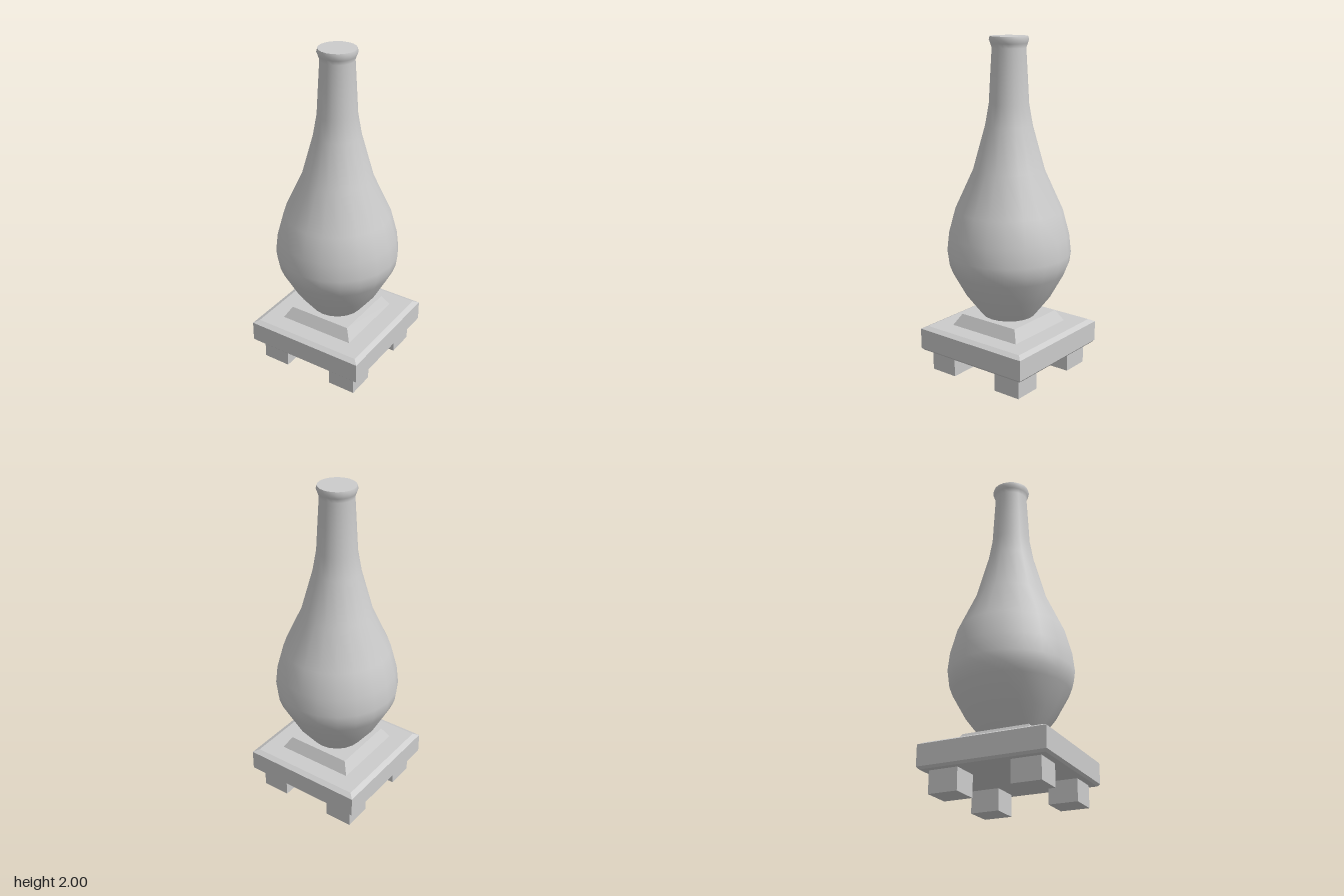
import * as THREE from 'three';

const smooth = new THREE.MeshStandardMaterial({ color: 0xcccccc });
const flat = new THREE.MeshStandardMaterial({ color: 0xcccccc, flatShading: true });

const toPoints = (pairs) => pairs.map(([r, y]) => new THREE.Vector2(r, y));

function addMesh(parent, name, geometry, material) {
  const mesh = new THREE.Mesh(geometry, material);
  mesh.name = name;
  parent.add(mesh);
  return mesh;
}

// Square block turned from a profile of [half width, height], bottom to top
function squareBlock(profile) {
  const points = toPoints(profile.map(([half, y]) => [half * Math.SQRT2, y]));
  return new THREE.LatheGeometry(points, 4, Math.PI / 4);
}

export function createModel() {
  const model = new THREE.Group();
  model.name = 'vaseOnStand';

  // Vase: pear-shaped body, slim neck and small rolled lip
  const vase = new THREE.Group();
  vase.name = 'vase';
  model.add(vase);
  const profile = [
    [0.16, 0.35], [0.26, 0.48], [0.34, 0.625], [0.361, 0.68], [0.369, 0.74],
    [0.357, 0.85], [0.317, 1.0], [0.21, 1.235], [0.138, 1.495], [0.116, 1.62],
    [0.107, 1.78], [0.098, 1.935], [0.106, 1.96], [0.114, 1.98], [0.109, 2.0],
  ];
  addMesh(vase, 'vaseBody', new THREE.LatheGeometry(toPoints(profile), 20), smooth);
  const cap = addMesh(vase, 'vaseTop', new THREE.CircleGeometry(0.109, 20), smooth);
  cap.rotation.x = -Math.PI / 2;
  cap.position.y = 2;

  // Stand: bevelled slab, sloped plinth and four square feet
  const stand = new THREE.Group();
  stand.name = 'stand';
  model.add(stand);
  addMesh(stand, 'slab', squareBlock([
    [0, 0.128], [0.365, 0.128], [0.378, 0.142], [0.378, 0.265], [0.347, 0.281], [0, 0.281],
  ]), flat);
  addMesh(stand, 'plinth', squareBlock([[0.24, 0.281], [0.2, 0.35], [0, 0.35]]), flat);
  for (const x of [-1, 1]) {
    for (const z of [-1, 1]) {
      const foot = addMesh(stand, 'foot', new THREE.BoxGeometry(0.173, 0.13, 0.173), flat);
      foot.position.set(x * 0.241, 0.065, z * 0.241);
    }
  }
  return model;
}
